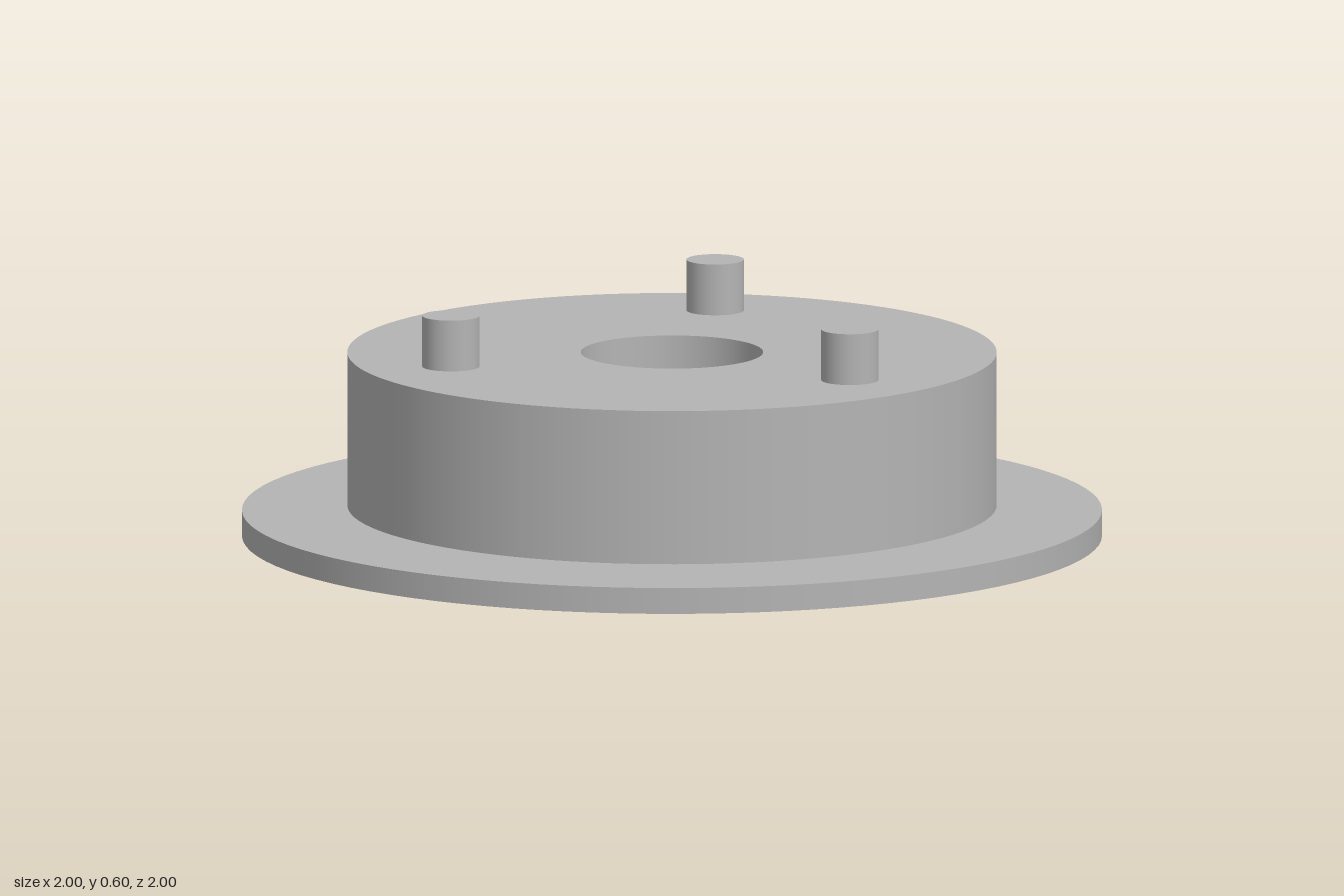
import * as THREE from 'three';

const SEGMENTS = 96;

// Sharp-edged turned part: each profile segment is its own smooth band.
function turned(name, points, material) {
  const part = new THREE.Group();
  part.name = name;
  for (let i = 0; i < points.length - 1; i++) {
    const band = [points[i], points[i + 1]].map(([r, y]) => new THREE.Vector2(r, y));
    const mesh = new THREE.Mesh(new THREE.LatheGeometry(band, SEGMENTS), material);
    mesh.name = `${name}Face${i + 1}`;
    part.add(mesh);
  }
  return part;
}

export function createModel() {
  const model = new THREE.Group();
  model.name = 'hubAndDisc';
  const metal = new THREE.MeshStandardMaterial({ color: 0xb4b4b4 });
  metal.name = 'grey metal';

  // Hub: bottom lip, neck, drum and blind centre bore
  model.add(turned('hub', [
    [0, 0], [0.453, 0], [0.453, 0.028], [0.437, 0.028], [0.437, 0.118],
    [0.755, 0.118], [0.755, 0.48], [0.212, 0.48], [0.212, 0.12], [0, 0.12],
  ], metal));

  // Loose ring around the neck
  model.add(turned('discRing', [
    [0.482, 0.046], [1, 0.046], [1, 0.107], [0.482, 0.107], [0.482, 0.046],
  ], metal));

  // Three studs evenly spaced on the drum top
  const studGeometry = new THREE.CylinderGeometry(0.067, 0.067, 0.13, 40);
  for (let i = 0; i < 3; i++) {
    const angle = Math.PI + (i * 2 * Math.PI) / 3;
    const stud = new THREE.Mesh(studGeometry, metal);
    stud.name = `stud${i + 1}`;
    stud.position.set(0.545 * Math.cos(angle), 0.535, 0.545 * Math.sin(angle));
    model.add(stud);
  }
  return model;
}
